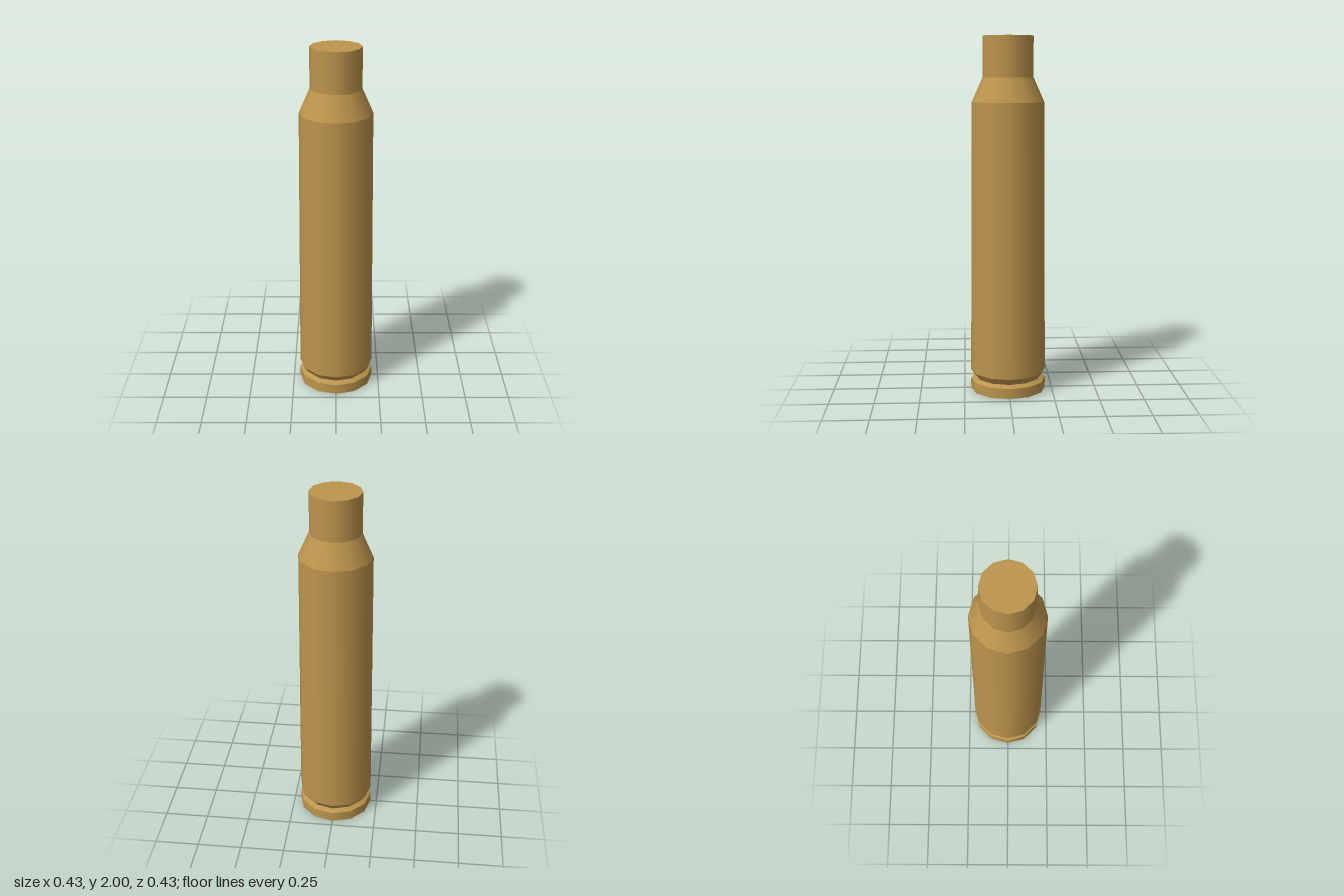
import * as THREE from 'three';

const SIDES = 12;

export function createModel() {
  const group = new THREE.Group();
  group.name = 'cartridgeCase';
  const brass = new THREE.MeshStandardMaterial({ color: 0xbd954d });
  brass.name = 'brass';

  // One twelve-sided band, smooth around and sharp at its ends
  function band(name, y0, r0, y1, r1) {
    const geometry = new THREE.CylinderGeometry(r1, r0, y1 - y0, SIDES, 1, true);
    const mesh = new THREE.Mesh(geometry, brass);
    mesh.name = name;
    mesh.position.y = (y0 + y1) / 2;
    group.add(mesh);
  }

  // Flat end disc, its corners in line with the bands
  function cap(name, y, radius, up) {
    const mesh = new THREE.Mesh(new THREE.CircleGeometry(radius, SIDES), brass);
    mesh.name = name;
    mesh.rotation.x = up ? -Math.PI / 2 : Math.PI / 2;
    mesh.position.y = y;
    group.add(mesh);
  }

  // Base rim and extractor groove
  cap('baseCap', 0, 0.213, false);
  band('rim', 0, 0.213, 0.058, 0.213);
  band('grooveLower', 0.058, 0.213, 0.074, 0.187);
  band('grooveUpper', 0.074, 0.187, 0.111, 0.213);

  // Tapered body, shoulder and closed neck
  band('body', 0.111, 0.213, 1.64, 0.201);
  band('shoulder', 1.64, 0.201, 1.775, 0.141);
  band('neck', 1.775, 0.141, 2, 0.141);
  cap('mouthCap', 2, 0.141, true);

  return group;
}
